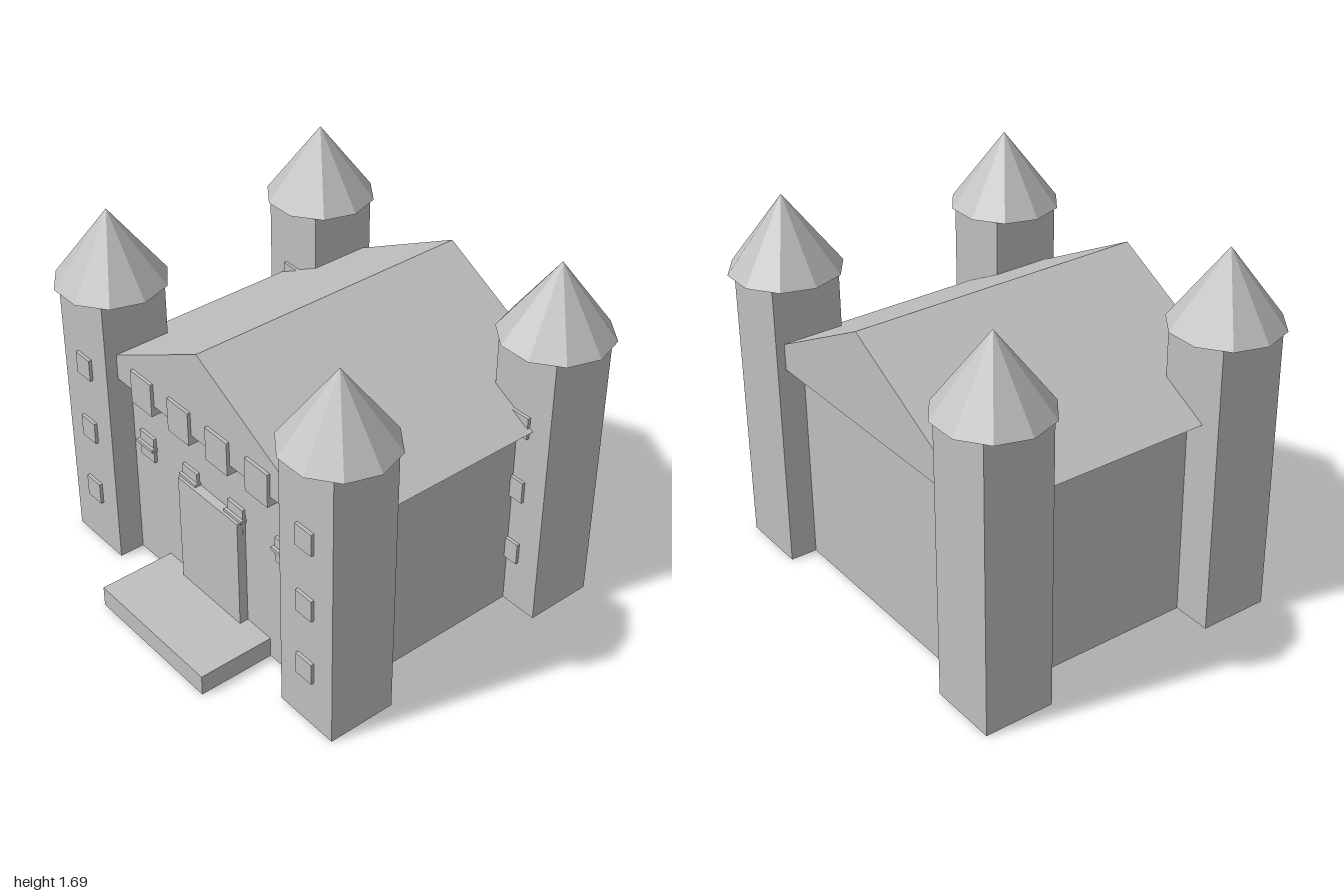
import * as THREE from 'three';

export function createModel() {
  const castle = new THREE.Group();
  castle.name = 'castle';
  const stone = new THREE.MeshStandardMaterial({ color: 0xbfbfbf });
  stone.name = 'grey stone';

  const add = (name, geometry, parent = castle) => {
    const mesh = new THREE.Mesh(geometry, stone);
    mesh.name = name;
    parent.add(mesh);
    return mesh;
  };
  // Box given by its extents along each axis
  const box = (name, x0, x1, y0, y1, z0, z1, parent) =>
    add(name, new THREE.BoxGeometry(x1 - x0, y1 - y0, z1 - z0), parent)
      .position.set((x0 + x1) / 2, (y0 + y1) / 2, (z0 + z1) / 2);

  const wallFront = 0.535, wallBack = -0.695, eaves = 0.967;

  // Main hall
  box('hall', -0.725, 0.725, 0, eaves, wallBack, wallFront);

  // Gabled roof, overhanging the walls all round
  const gable = new THREE.Shape([
    new THREE.Vector2(-0.815, eaves),
    new THREE.Vector2(0.815, eaves),
    new THREE.Vector2(0, 1.4),
  ]);
  add('roof', new THREE.ExtrudeGeometry(gable, { depth: 1.38, bevelEnabled: false }))
    .position.z = -0.78;

  // Entrance
  box('door', -0.205, 0.205, 0.1, 0.65, wallFront - 0.02, 0.578);
  box('doorstep', -0.36, 0.36, 0, 0.1, wallFront - 0.02, 0.9);

  // Upper row of windows, cutting through the gable overhang
  for (const x of [-0.392, -0.132, 0.128, 0.388]) {
    box('upperWindow', x - 0.072, x + 0.072, 0.92, 1.083, wallFront - 0.01, 0.615);
  }

  // Lower row of windows with a crossbar
  for (const x of [-0.471, -0.158, 0.156, 0.47]) {
    box('lowerWindow', x - 0.051, x + 0.051, 0.583, 0.71, wallFront - 0.01, 0.55);
    box('lowerWindowBar', x - 0.058, x + 0.058, 0.647, 0.663, wallFront - 0.01, 0.565);
  }

  // Corner towers: square shaft, ten-sided spire and three front windows
  const half = 0.162;
  for (const x of [-0.747, 0.747]) {
    for (const z of [0.494, -0.658]) {
      const tower = new THREE.Group();
      tower.name = 'tower';
      tower.position.set(x, 0, z);
      castle.add(tower);
      box('towerShaft', -half, half, 0, 1.352, -half, half, tower);
      const spire = new THREE.ConeGeometry(0.25, 0.338, 10, 1, false, Math.PI / 2).toNonIndexed();
      spire.computeVertexNormals();
      add('spire', spire, tower).position.y = 1.521;
      for (const y of [0.298, 0.637, 0.974]) {
        box('towerWindow', -0.049, 0.049, y - 0.053, y + 0.053, half - 0.01, half + 0.015, tower);
      }
    }
  }
  return castle;
}
